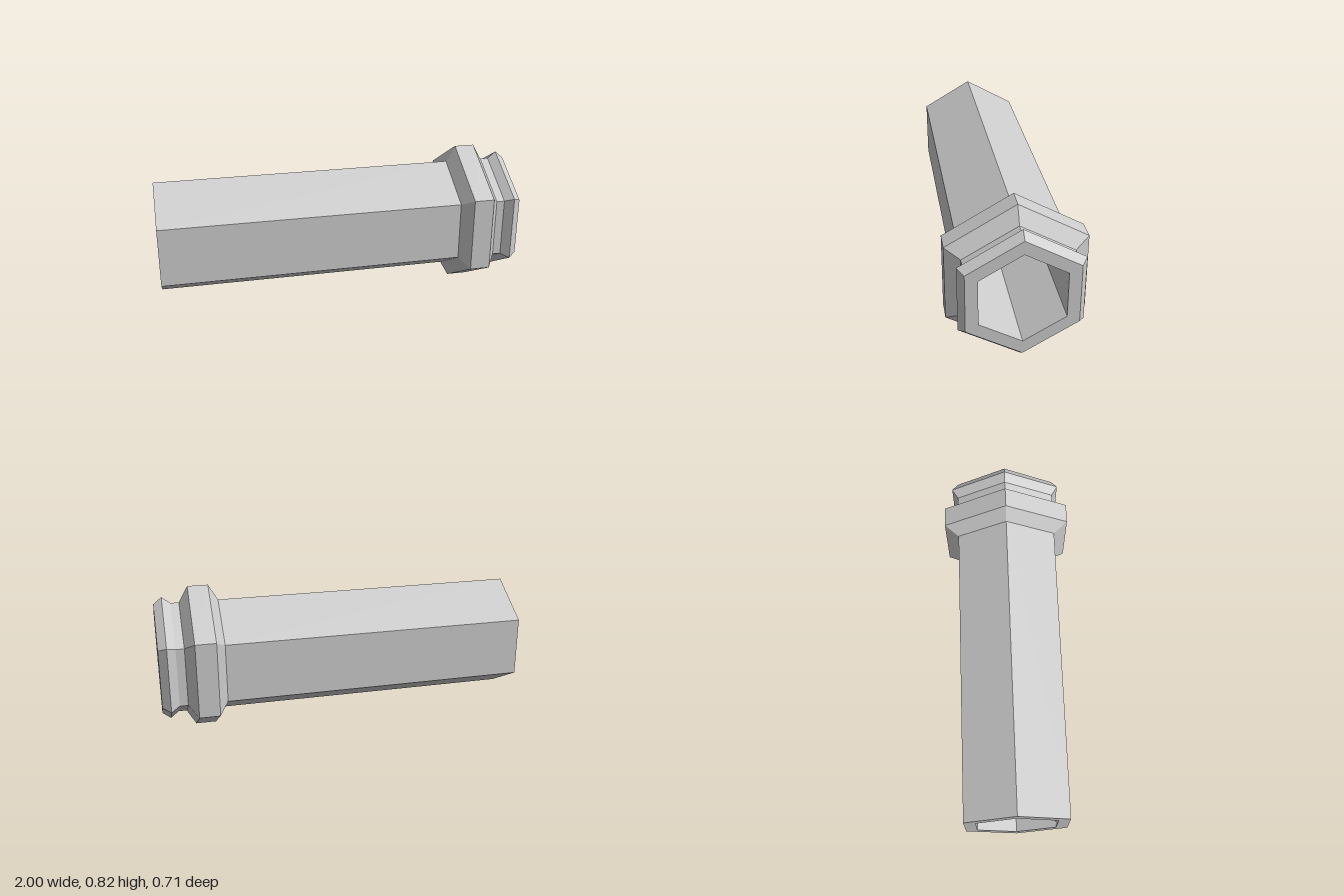
import * as THREE from 'three';

const TUBE = 0.322, BORE = 0.249, COLLAR = 0.41, LIP = 0.359;

export function createModel() {
  const group = new THREE.Group();
  const material = new THREE.MeshStandardMaterial({ color: 0xcccccc, flatShading: true });

  // Six-sided turned section along x, from [radius, x] pairs, with a corner on top
  function section(name, profile) {
    const points = profile.map(([r, x]) => new THREE.Vector2(r, x));
    const geometry = new THREE.LatheGeometry(points, 6, Math.PI / 2);
    geometry.rotateZ(-Math.PI / 2);
    const mesh = new THREE.Mesh(geometry, material);
    mesh.name = name;
    mesh.position.y = COLLAR;
    group.add(mesh);
  }

  // Long hexagonal barrel with its open rear end
  section('barrel', [[BORE, -1], [TUBE, -1], [TUBE, 0.655]]);
  // Thick bevelled collar
  section('collar', [[TUBE, 0.655], [COLLAR, 0.705], [COLLAR, 0.815], [TUBE, 0.865]]);
  // Short neck between collar and lip
  section('neck', [[TUBE, 0.865], [TUBE, 0.91]]);
  // Ridged lip and open front rim
  section('lip', [[TUBE, 0.91], [LIP, 0.955], [TUBE, 1], [BORE, 1]]);
  // Straight bore through the whole length
  section('bore', [[BORE, 1], [BORE, -1]]);

  return group;
}
